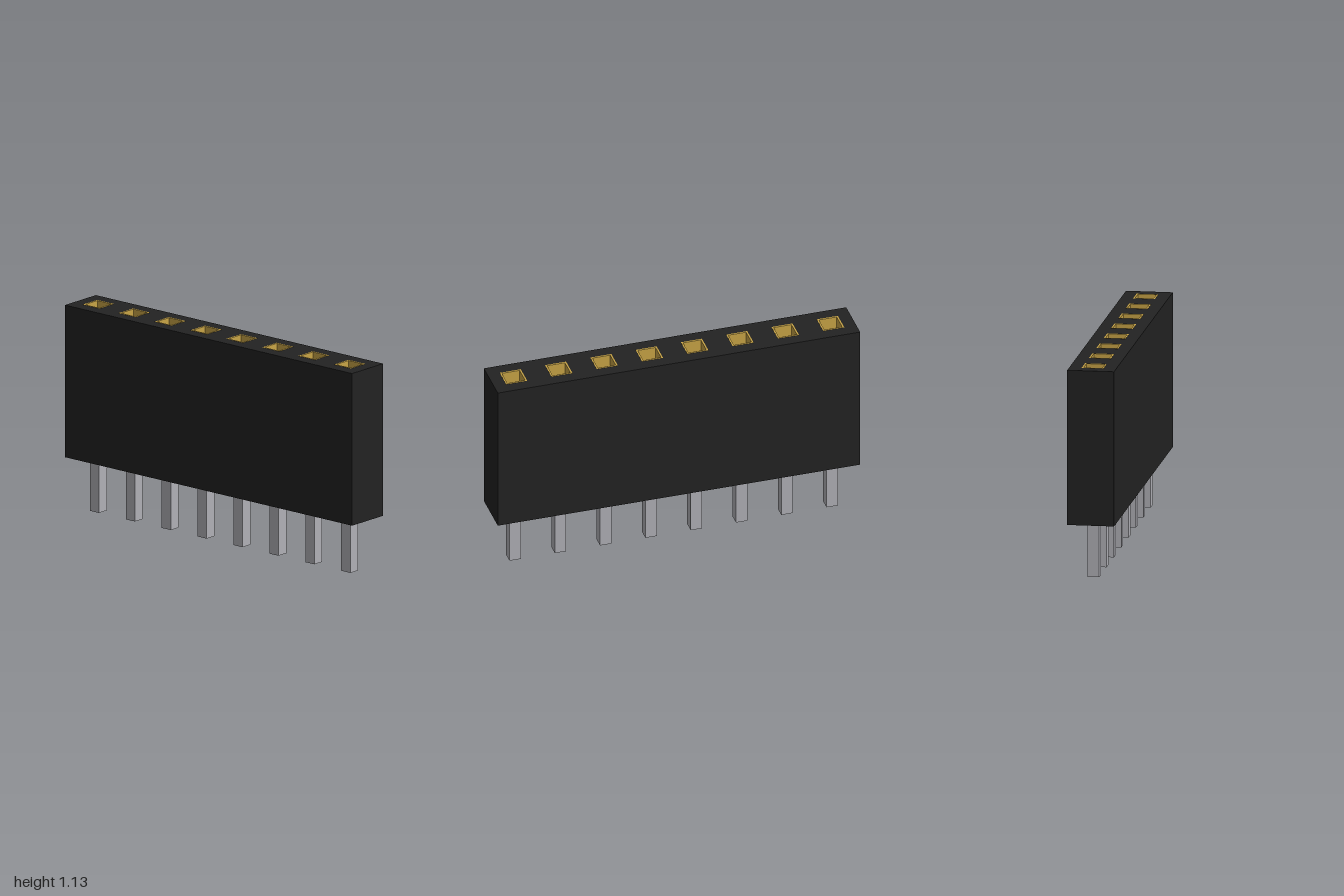
import * as THREE from 'three';

const COUNT = 8, PITCH = 0.25;
const BASE = 0.297, TOP = 1.132, FLOOR = 0.53;   // housing bottom, top, socket floor
const DEPTH = 0.25, HOLE = 0.116, WALL = 0.009, PIN = 0.063;

const pinX = i => (i - (COUNT - 1) / 2) * PITCH;

// Rectangle outline centred on (x, 0)
function rect(Type, x, w, h) {
  const p = new Type();
  p.moveTo(x - w / 2, -h / 2);
  p.lineTo(x + w / 2, -h / 2);
  p.lineTo(x + w / 2, h / 2);
  p.lineTo(x - w / 2, h / 2);
  p.closePath();
  return p;
}

// Extrude a plan outline upwards between two heights
function riser(shape, y0, y1) {
  return new THREE.ExtrudeGeometry(shape, { depth: y1 - y0, bevelEnabled: false })
    .rotateX(-Math.PI / 2).translate(0, y0, 0);
}

export function createModel() {
  const plastic = new THREE.MeshStandardMaterial({ name: 'black plastic', color: 0x222222 });
  const gold = new THREE.MeshStandardMaterial({ name: 'gold contact', color: 0xc8a446 });
  const metal = new THREE.MeshStandardMaterial({ name: 'tinned metal', color: 0xb0b0b6 });

  const model = new THREE.Group();
  model.name = 'pinSocketStrip';
  const add = (name, geometry, material, parent = model) => {
    const mesh = new THREE.Mesh(geometry, material);
    mesh.name = name;
    parent.add(mesh);
    return mesh;
  };

  // Housing: solid base and a pierced upper block
  const housing = new THREE.Group();
  housing.name = 'housing';
  model.add(housing);
  const width = COUNT * PITCH;
  add('housingBase', riser(rect(THREE.Shape, 0, width, DEPTH), BASE, FLOOR), plastic, housing);
  const block = rect(THREE.Shape, 0, width, DEPTH);
  for (let i = 0; i < COUNT; i++) block.holes.push(rect(THREE.Path, pinX(i), HOLE, HOLE));
  add('housingBlock', riser(block, FLOOR, TOP), plastic, housing);

  // Square gold sleeve lining each socket
  const ring = rect(THREE.Shape, 0, HOLE, HOLE);
  ring.holes.push(rect(THREE.Path, 0, HOLE - 2 * WALL, HOLE - 2 * WALL));
  const sleeve = riser(ring, FLOOR, TOP + 0.001);

  // Square solder pin under each socket
  const pin = new THREE.BoxGeometry(PIN, BASE, PIN).translate(0, BASE / 2, 0);

  for (let i = 0; i < COUNT; i++) {
    add('socketSleeve', sleeve, gold).position.x = pinX(i);
    add('pin', pin, metal).position.x = pinX(i);
  }
  return model;
}
